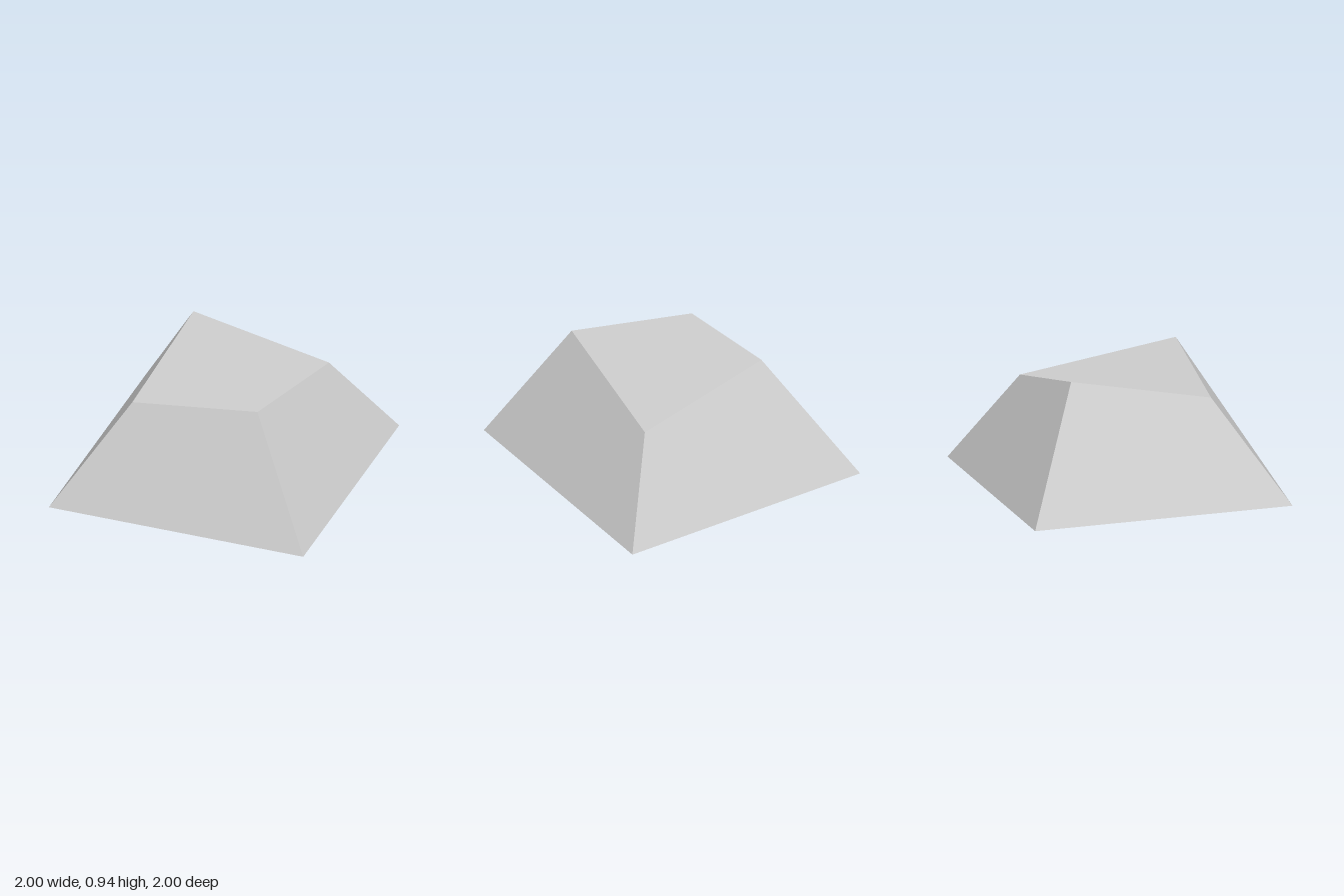
import * as THREE from 'three';

const stone = new THREE.MeshStandardMaterial({ color: 0xcccccc });
stone.name = 'lightGrey';

// Upper corners of the block, keyed by the signs of x and z
const topCorners = {
  '-1,-1': [-0.44, 0.94, -0.53],
  '1,-1': [0.61, 0.70, -0.57],
  '1,1': [0.49, 0.91, 0.60],
  '-1,1': [-0.52, 0.74, 0.53],
};

// Box whose square base stays put while its top is drawn in unevenly
function taperedBlock() {
  const geometry = new THREE.BoxGeometry(2, 2, 2);
  const pos = geometry.attributes.position;
  for (let i = 0; i < pos.count; i++) {
    const x = pos.getX(i), z = pos.getZ(i);
    if (pos.getY(i) > 0) pos.setXYZ(i, ...topCorners[`${Math.sign(x)},${Math.sign(z)}`]);
    else pos.setY(i, 0);
  }

  // One even normal per four-sided face, from its two diagonals
  const corner = (i) => new THREE.Vector3().fromBufferAttribute(pos, i);
  for (let f = 0; f < pos.count; f += 4) {
    const fall = corner(f + 3).sub(corner(f));
    const rise = corner(f + 1).sub(corner(f + 2));
    const n = fall.cross(rise).normalize();
    for (let i = f; i < f + 4; i++) geometry.attributes.normal.setXYZ(i, n.x, n.y, n.z);
  }
  return geometry;
}

export function createModel() {
  const model = new THREE.Group();
  model.name = 'rock';
  const block = new THREE.Mesh(taperedBlock(), stone);
  block.name = 'taperedBlock';
  model.add(block);
  return model;
}
